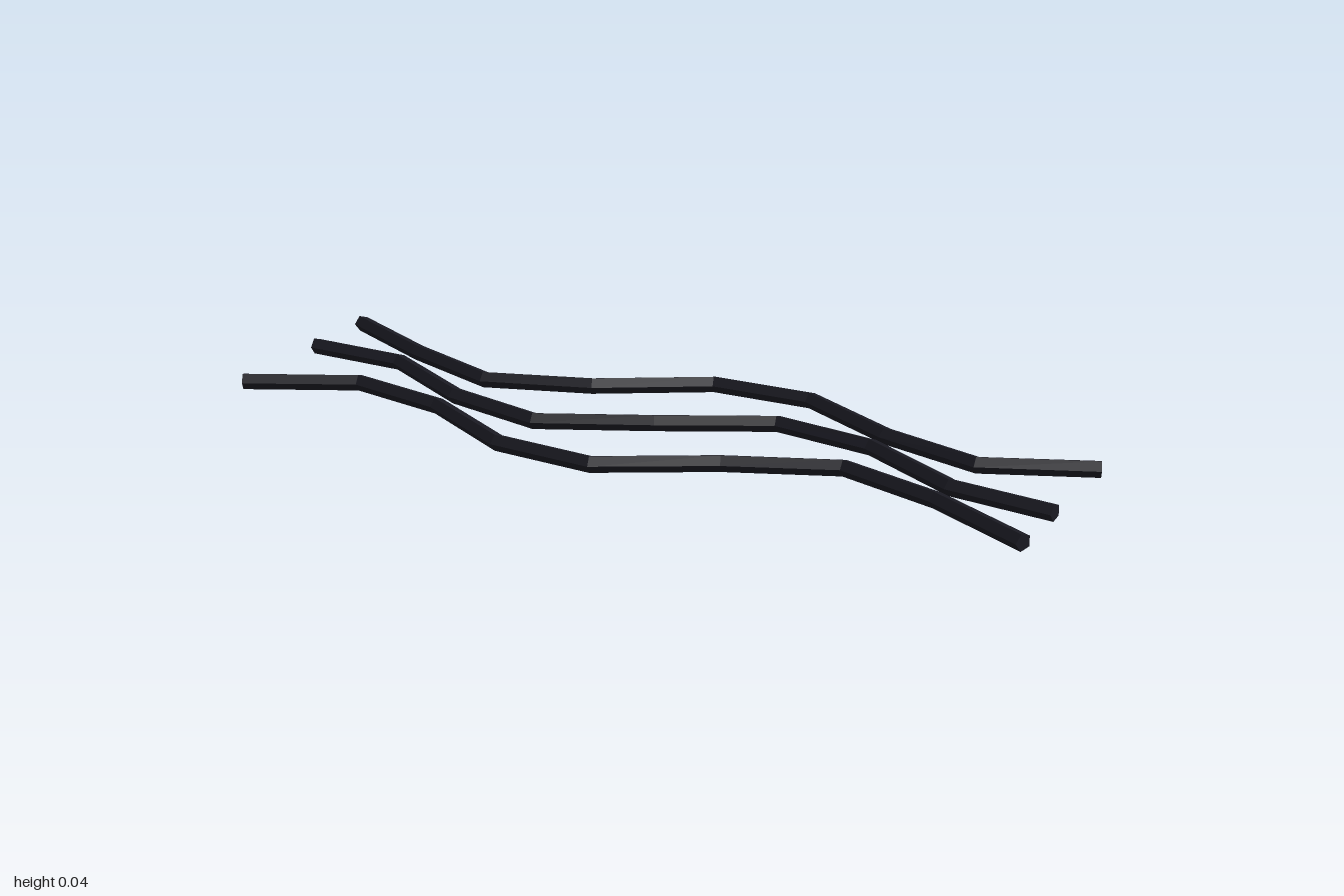
import * as THREE from 'three';

const SIDES = 5, RADIUS = 0.02, CENTRE_Y = 0.019;

// Pentagonal rod swept along a flat zigzag path; a ridge points to the front
function rodGeometry(points) {
  const pos = [], index = [], last = points.length - 1;
  points.forEach((p, i) => {
    const t = points[Math.min(i + 1, last)].clone().sub(p).normalize();
    const back = p.clone().sub(points[Math.max(i - 1, 0)]).normalize();
    t.add(back).normalize();
    for (let j = 0; j < SIDES; j++) {
      const a = (j / SIDES) * Math.PI * 2;
      const out = Math.cos(a) * RADIUS;
      pos.push(p.x - t.y * out, CENTRE_Y + Math.sin(a) * RADIUS, p.y + t.x * out);
    }
  });
  // Side walls
  for (let i = 0; i < last; i++) {
    for (let j = 0; j < SIDES; j++) {
      const k = (j + 1) % SIDES, a = i * SIDES, b = a + SIDES;
      index.push(a + j, b + j, b + k, a + j, b + k, a + k);
    }
  }
  // End caps
  const e = last * SIDES;
  for (let j = 1; j < SIDES - 1; j++) index.push(0, j, j + 1, e, e + j + 1, e + j);

  const indexed = new THREE.BufferGeometry();
  indexed.setAttribute('position', new THREE.Float32BufferAttribute(pos, 3));
  indexed.setIndex(index);
  const g = indexed.toNonIndexed();
  g.computeVertexNormals();
  return g;
}

export function createModel() {
  const group = new THREE.Group();
  const black = new THREE.MeshStandardMaterial({ color: 0x1a1a22, flatShading: true });
  black.name = 'near black';

  // Depth of each rod at nine evenly spaced stations from right to left
  const rods = {
    backWave: [-0.312, -0.18, -0.08, -0.157, -0.3, -0.3, -0.158, -0.08, -0.18],
    middleWave: [-0.108, -0.097, 0.052, 0.118, 0.004, -0.12, -0.077, 0.073, 0.11],
    frontWave: [0.194, 0.076, 0.131, 0.28, 0.304, 0.168, 0.07, 0.155, 0.296],
  };
  for (const [name, depths] of Object.entries(rods)) {
    const points = depths.map((z, i) => new THREE.Vector2(-0.991 + i * 0.2478, z));
    const mesh = new THREE.Mesh(rodGeometry(points), black);
    mesh.name = name;
    group.add(mesh);
  }
  return group;
}
